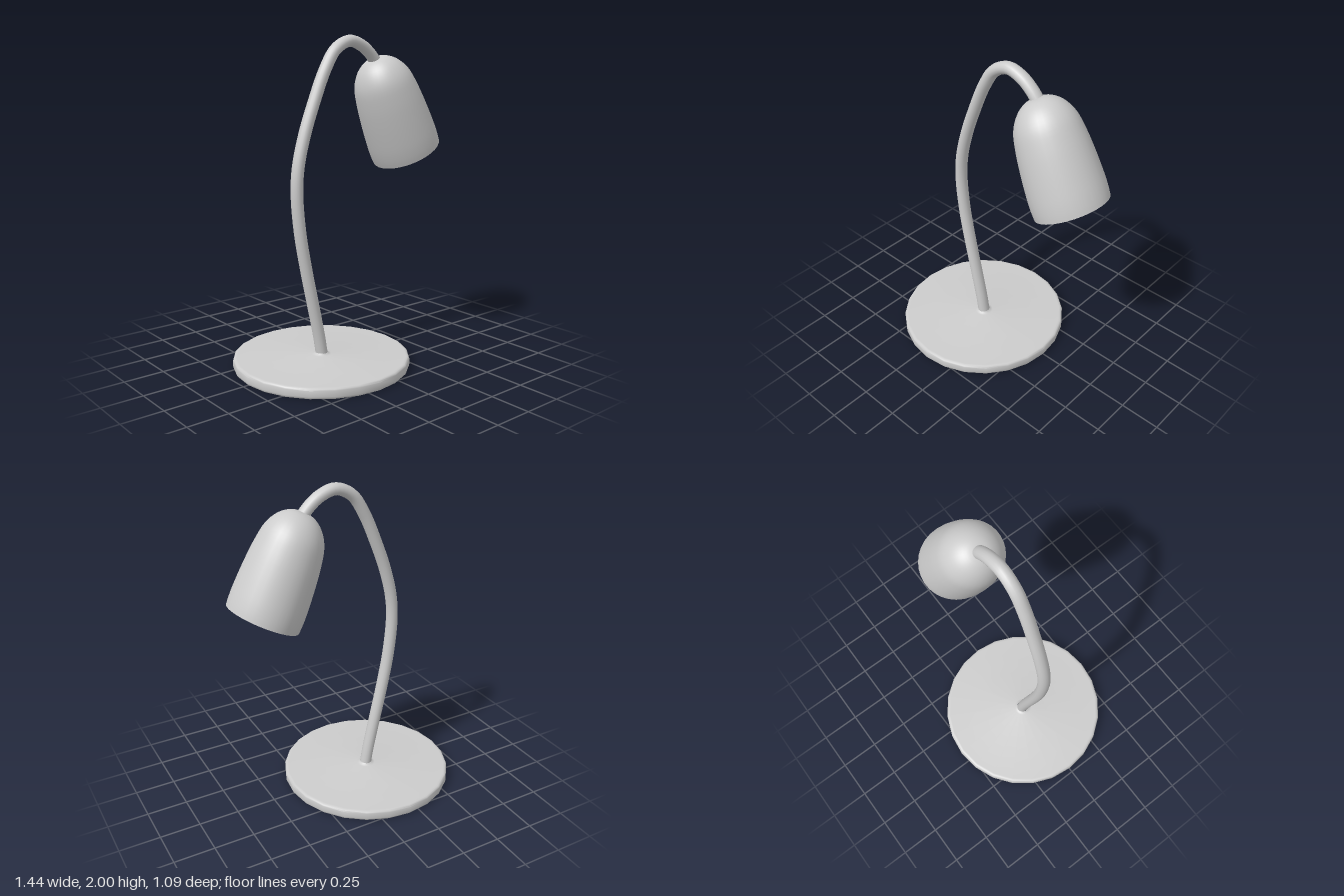
import * as THREE from 'three';
import { toCreasedNormals } from 'three/addons/utils/BufferGeometryUtils.js';

const material = new THREE.MeshStandardMaterial({ color: 0xcccccc, side: THREE.DoubleSide });
const BASE_X = -0.179;

const points = (list) => list.map(([x, y]) => new THREE.Vector2(x, y));

function addMesh(parent, name, geometry) {
  const mesh = new THREE.Mesh(geometry, material);
  mesh.name = name;
  parent.add(mesh);
  return mesh;
}

export function createModel() {
  const lamp = new THREE.Group();
  lamp.name = 'deskLamp';

  // Hollow foot: a thin pan open below, with a hole and a small flare for the stem
  const pan = new THREE.LatheGeometry(points([
    [0.536, 0], [0.541, 0.005], [0.543, 0.014], [0.543, 0.05],
    [0.54, 0.058], [0.532, 0.063], [0.52, 0.064],
    [0.06, 0.064], [0.046, 0.067], [0.038, 0.076],
  ]), 24);
  addMesh(lamp, 'base', toCreasedNormals(pan, 0.9)).position.x = BASE_X;

  // Gooseneck stem, an open tube slightly deeper than wide
  const path = new THREE.CatmullRomCurve3([
    [-0.177, 0.064], [-0.197, 0.18], [-0.242, 0.39], [-0.288, 0.6],
    [-0.334, 0.85], [-0.354, 1.09], [-0.342, 1.24], [-0.296, 1.42],
    [-0.225, 1.61], [-0.14, 1.8], [-0.061, 1.915], [0.043, 1.964],
    [0.14, 1.938], [0.212, 1.886], [0.27, 1.82],
  ].map(([x, y]) => new THREE.Vector3(x, y, 0)));
  const stem = addMesh(lamp, 'stem', new THREE.TubeGeometry(path, 90, 0.036, 16));
  stem.scale.z = 1.11;

  // Open bell shade: profile runs from the rim up to the crown
  const profile = new THREE.SplineCurve(points([
    [0.222, 0], [0.225, 0.05], [0.224, 0.13], [0.215, 0.27], [0.201, 0.4],
    [0.178, 0.51], [0.131, 0.59], [0.068, 0.636], [0, 0.648],
  ])).getPoints(32);
  const bell = new THREE.LatheGeometry(profile, 32);
  // Lean the bell slightly off the square of its rim
  bell.applyMatrix4(new THREE.Matrix4().set(
    1, 0.03, 0, 0,
    0, 1, 0, 0,
    0, 0, 1.015, 0,
    0, 0, 0, 1,
  ));
  const shade = addMesh(lamp, 'shade', bell);
  shade.position.set(0.52, 1.275, 0);
  shade.rotation.z = 0.469;

  return lamp;
}
